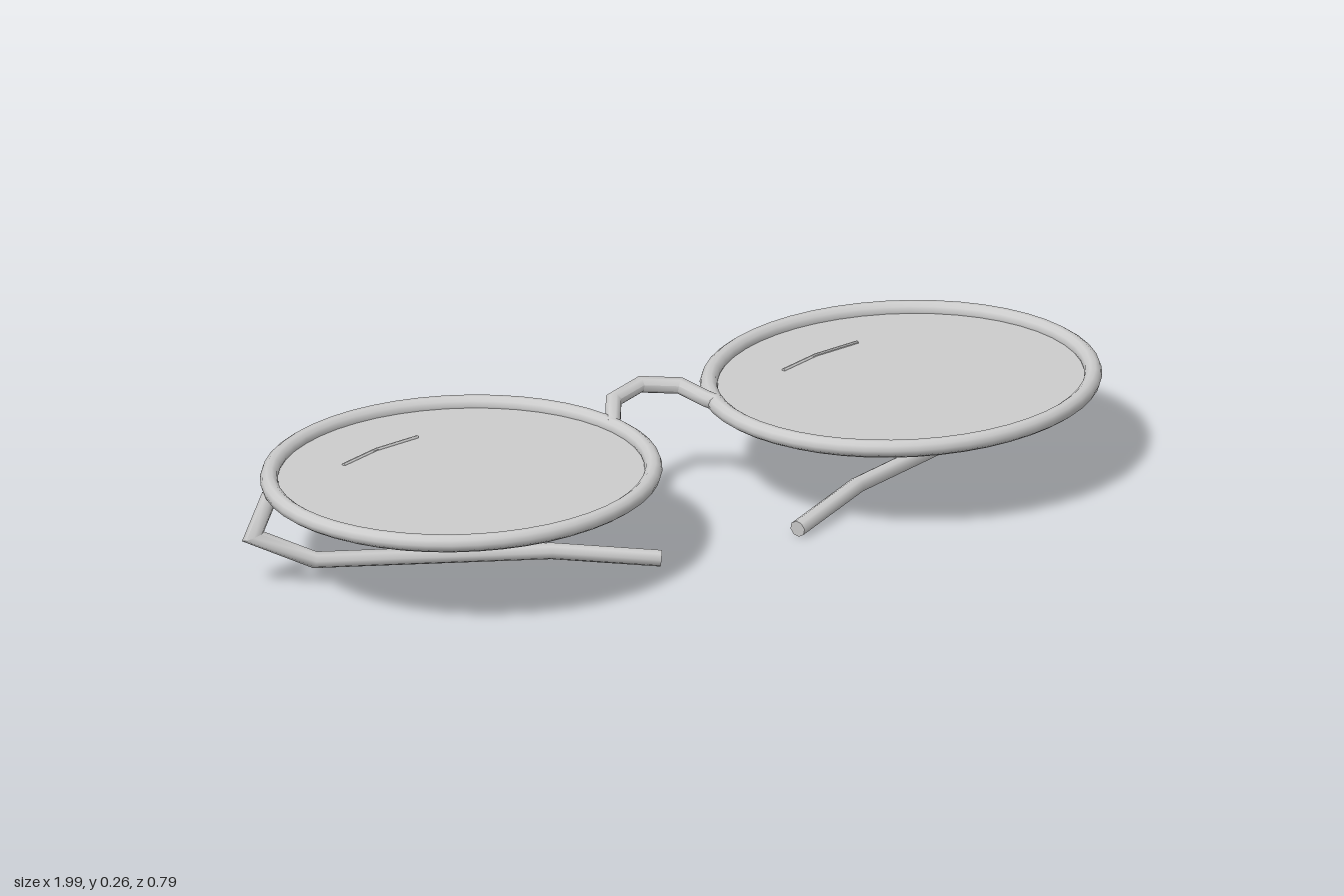
import * as THREE from 'three';
import { toCreasedNormals } from 'three/addons/utils/BufferGeometryUtils.js';

const SIDES = 8;

// Capped wire along a polyline, mitred at each bend.
function wire(points, radius) {
  const pts = points.map(p => new THREE.Vector3(...p));
  const last = pts.length - 1;
  const dirs = pts.slice(1).map((p, i) => p.clone().sub(pts[i]).normalize());
  const ref = Math.abs(dirs[0].y) < 0.8 ? new THREE.Vector3(0, 1, 0) : new THREE.Vector3(0, 0, 1);
  const u = new THREE.Vector3().crossVectors(ref, dirs[0]).normalize();
  const v = new THREE.Vector3().crossVectors(dirs[0], u);
  let ring = [];
  for (let s = 0; s < SIDES; s++) {
    const a = (s + 0.5) / SIDES * Math.PI * 2;
    ring.push(pts[0].clone().addScaledVector(u, radius * Math.cos(a)).addScaledVector(v, radius * Math.sin(a)));
  }
  const position = [], index = [];
  pts.forEach((p, i) => {
    if (i > 0) {
      // slide the previous ring along its segment to the mitre plane
      const d = dirs[i - 1];
      const n = i < last ? d.clone().add(dirs[i]).normalize() : d;
      ring = ring.map(q => q.clone().addScaledVector(d, p.clone().sub(q).dot(n) / d.dot(n)));
    }
    ring.forEach(q => position.push(q.x, q.y, q.z));
    for (let s = 0; i < last && s < SIDES; s++) {
      const a = i * SIDES + s, b = i * SIDES + (s + 1) % SIDES;
      index.push(a, b, a + SIDES, b, b + SIDES, a + SIDES);
    }
  });
  const end = last * SIDES;
  for (let s = 1; s < SIDES - 1; s++) index.push(0, s + 1, s, end, end + s, end + s + 1);
  const g = new THREE.BufferGeometry();
  g.setAttribute('position', new THREE.Float32BufferAttribute(position, 3));
  g.setIndex(index);
  return toCreasedNormals(g, 0.95);
}

export function createModel() {
  const model = new THREE.Group();
  const grey = new THREE.MeshStandardMaterial({ color: 0xcccccc });
  grey.name = 'plain grey';

  function add(name, geometry) {
    const mesh = new THREE.Mesh(geometry, grey);
    mesh.name = name;
    model.add(mesh);
  }

  for (const [label, side] of [['left', 1], ['right', -1]]) {
    const cx = 0.532 * side;

    // Oval rim lying flat
    add(label + 'Rim', new THREE.TorusGeometry(0.396, 0.0185, 10, 48)
      .scale(1.046, 0.953, 1).rotateX(Math.PI / 2).translate(cx, 0.216, 0));

    // Lens, dropping slightly below the rim
    add(label + 'Lens', new THREE.CylinderGeometry(0.389, 0.389, 0.02, 48)
      .scale(1.046, 1, 0.953).translate(cx, 0.202, 0));

    // Glint stroke, the same way round on both lenses
    add(label + 'Glint', wire([
      [cx - 0.19, 0.213, -0.168], [cx - 0.09, 0.213, -0.207], [cx + 0.022, 0.213, -0.226],
    ], 0.004));

    // Folded temple arm under the lens
    add(label + 'Temple', wire([
      [0.93 * side, 0.205, -0.115], [0.974 * side, 0.122, -0.11], [0.85 * side, 0.06, -0.064],
      [0.37 * side, 0.042, 0.1], [0.165 * side, 0.022, 0.207],
    ], 0.018));
  }

  // Arched nose bridge
  add('bridge', wire([
    [-0.128, 0.217, -0.07], [-0.113, 0.222, -0.092], [-0.08, 0.239, -0.147], [0, 0.248, -0.175],
    [0.08, 0.239, -0.147], [0.113, 0.222, -0.092], [0.128, 0.217, -0.07],
  ], 0.0175));

  return model;
}
